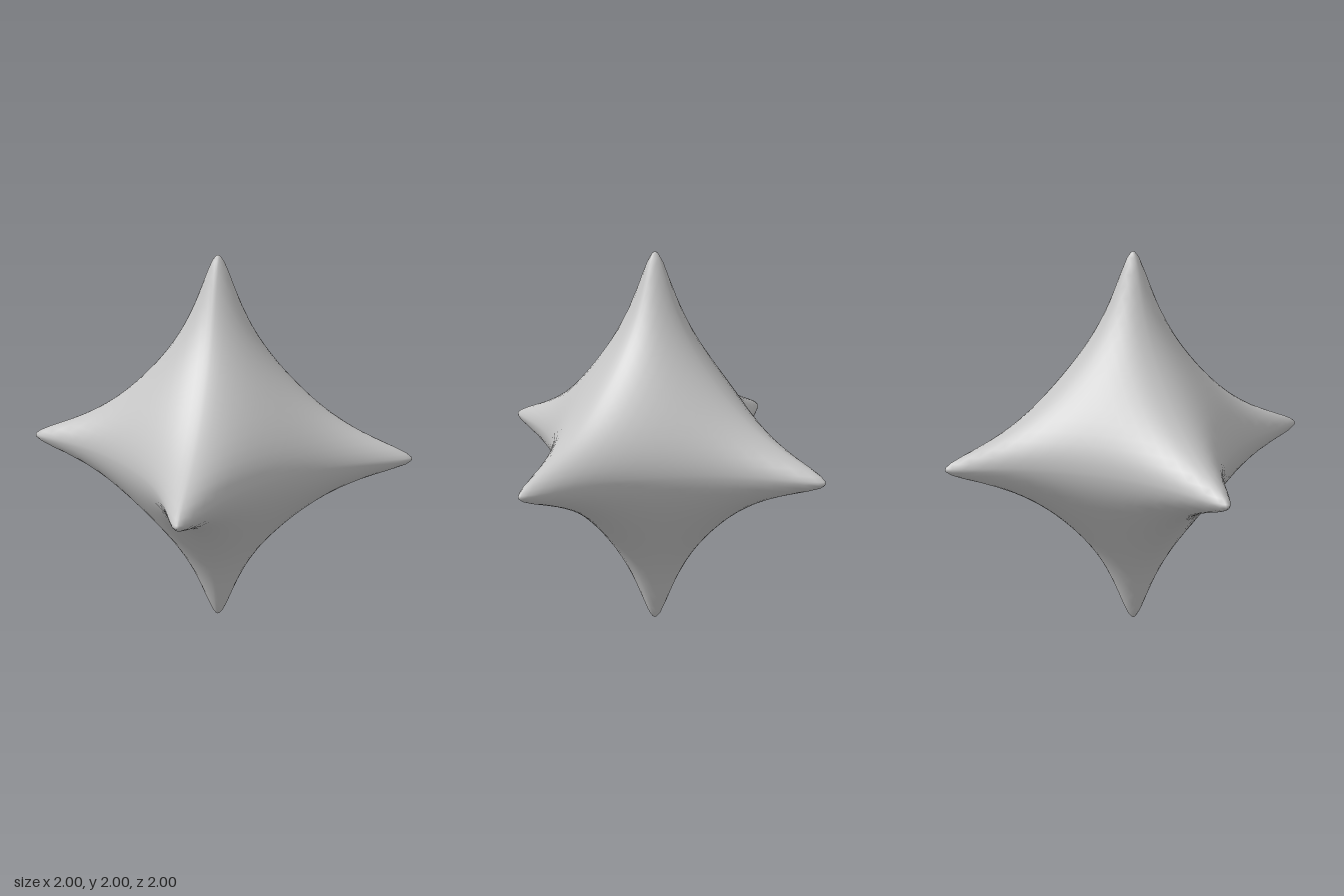
import * as THREE from 'three';
import { mergeVertices } from 'three/addons/utils/BufferGeometryUtils.js';

const PINCH = 73;     // how strongly the body draws in between the six tips
const FALLOFF = 5.22; // how quickly the arms taper
const CROWD = 1.5;    // gathers vertices toward the tips

// Distance from the centre to the surface along unit direction d
function radius(d) {
  const x = d.x * d.x, y = d.y * d.y, z = d.z * d.z;
  const k = PINCH * (x * y + y * z + z * x + x * y * z);
  let lo = 0, hi = 1;
  for (let i = 0; i < 40; i++) {
    const r = (lo + hi) / 2;
    if (r * r + k * r ** FALLOFF < 1) lo = r; else hi = r;
  }
  return hi;
}

export function createModel() {
  const model = new THREE.Group();
  model.name = 'sixPointedStar';
  const grey = new THREE.MeshStandardMaterial({ color: 0xc4c4c4 });
  grey.name = 'grey';

  // Octahedron whose vertices crowd toward the six tips, then move to the surface
  let geometry = new THREE.OctahedronGeometry(1, 23);
  geometry.deleteAttribute('normal');
  geometry.deleteAttribute('uv');
  const pos = geometry.attributes.position;
  const d = new THREE.Vector3();
  const spread = (v) => (Math.abs(v) < 1e-6 ? 0 : Math.sign(v) * Math.pow(Math.abs(v), CROWD));
  for (let i = 0; i < pos.count; i++) {
    d.fromBufferAttribute(pos, i);
    d.divideScalar(Math.abs(d.x) + Math.abs(d.y) + Math.abs(d.z));
    d.set(spread(d.x), spread(d.y), spread(d.z)).normalize();
    d.multiplyScalar(radius(d));
    pos.setXYZ(i, d.x, d.y, d.z);
  }
  geometry = mergeVertices(geometry, 1e-4);
  geometry.computeVertexNormals();

  const star = new THREE.Mesh(geometry, grey);
  star.name = 'starBody';
  star.position.y = 1;
  model.add(star);
  return model;
}
